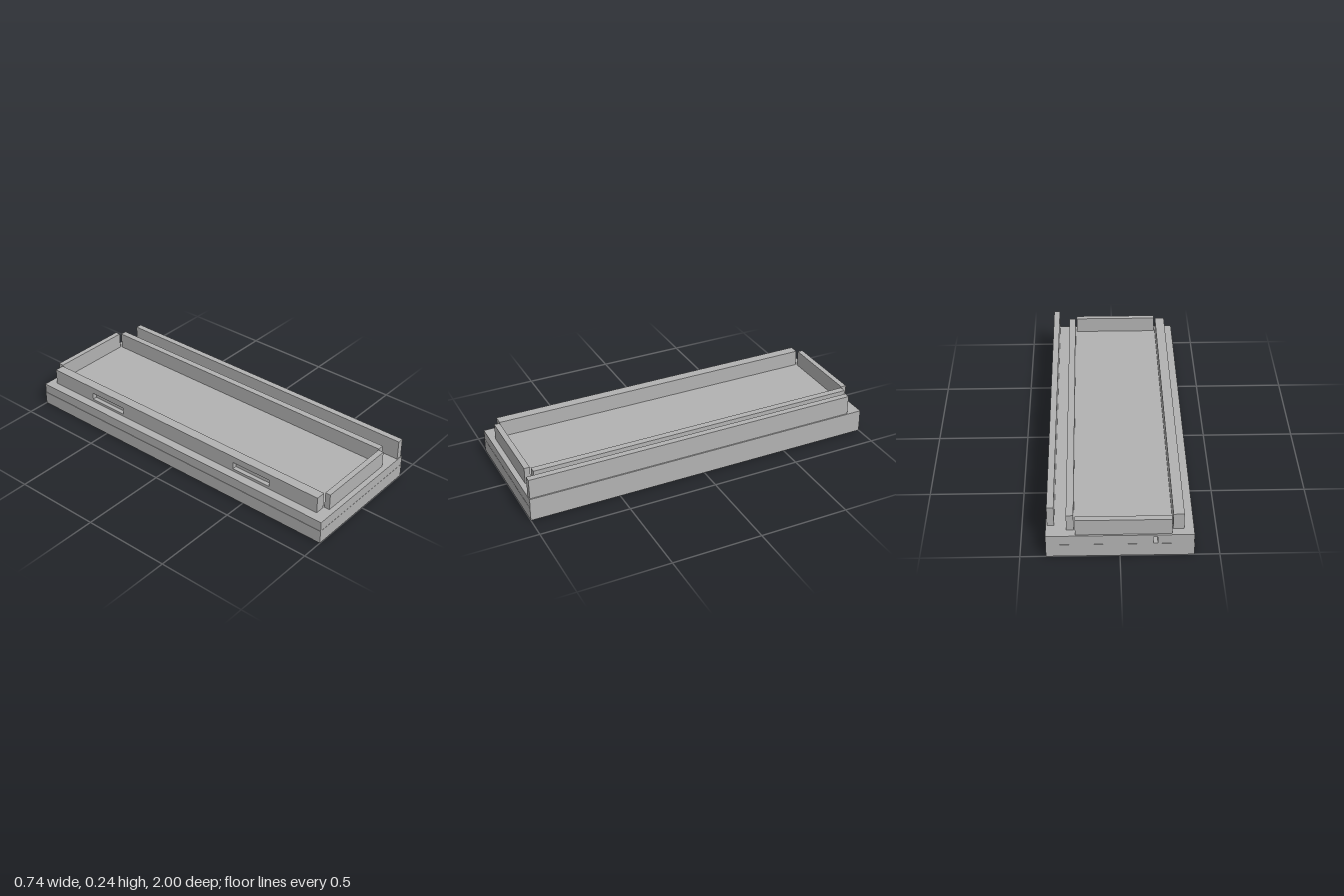
import * as THREE from 'three';

export function createModel() {
  const model = new THREE.Group();
  const grey = new THREE.MeshStandardMaterial({ color: 0xb2b2b2 });
  grey.name = 'plain grey';

  const add = (name, geometry) => {
    const mesh = new THREE.Mesh(geometry, grey);
    mesh.name = name;
    model.add(mesh);
    return mesh;
  };

  // Box given by its limits on each axis
  const block = (name, [x0, x1], [y0, y1], [z0, z1]) =>
    add(name, new THREE.BoxGeometry(x1 - x0, y1 - y0, z1 - z0)
      .translate((x0 + x1) / 2, (y0 + y1) / 2, (z0 + z1) / 2));

  // Rectangular outline, counter-clockwise
  const rect = (Type, u0, u1, v0, v1) => new Type([
    new THREE.Vector2(u0, v0), new THREE.Vector2(u1, v0),
    new THREE.Vector2(u1, v1), new THREE.Vector2(u0, v1),
  ]);

  // Plate with rectangular openings, extruded along +z
  const slottedPlate = (outline, slots, depth) => {
    const shape = rect(THREE.Shape, ...outline);
    slots.forEach((s) => shape.holes.push(rect(THREE.Path, ...s)));
    return new THREE.ExtrudeGeometry(shape, { depth, bevelEnabled: false });
  };

  // Base: lower slab, and an upper slab with a small socket in its back
  const seam = 0.075, deck = 0.13, wallTop = 0.222;
  block('lowerBase', [-0.372, 0.37], [0, seam], [-1, 1]);
  block('upperBase', [-0.37, 0.37], [seam, deck], [-0.95, 0.999]);
  add('backSocketPlate', slottedPlate(
    [-0.37, 0.37, seam, deck], [[-0.188, -0.166, 0.077, 0.116]], 0.049,
  ).translate(0, 0, -0.999));

  // Low walls around the tray
  const wallY = [deck, wallTop];
  block('frontWall', [-0.258, 0.223], wallY, [0.938, 0.969]);
  block('backWall', [-0.258, 0.223], wallY, [-0.99, -0.959]);
  block('innerSideWall', [0.23, 0.267], wallY, [-0.952, 0.935]);

  // Thick side wall with two pockets in its outer face
  block('thickSideWall', [-0.295, -0.265], wallY, [-0.952, 0.935]);
  add('pocketedSideFace', slottedPlate(
    [-0.952, 0.935, deck, wallTop],
    [[-0.65, -0.41, 0.145, 0.185], [0.39, 0.63, 0.145, 0.185]], 0.025,
  ).rotateY(-Math.PI / 2).translate(-0.295, 0, 0));

  // Tall outer rail
  block('outerRail', [0.328, 0.363], [deck, 0.242], [-0.915, 0.995]);

  return model;
}
